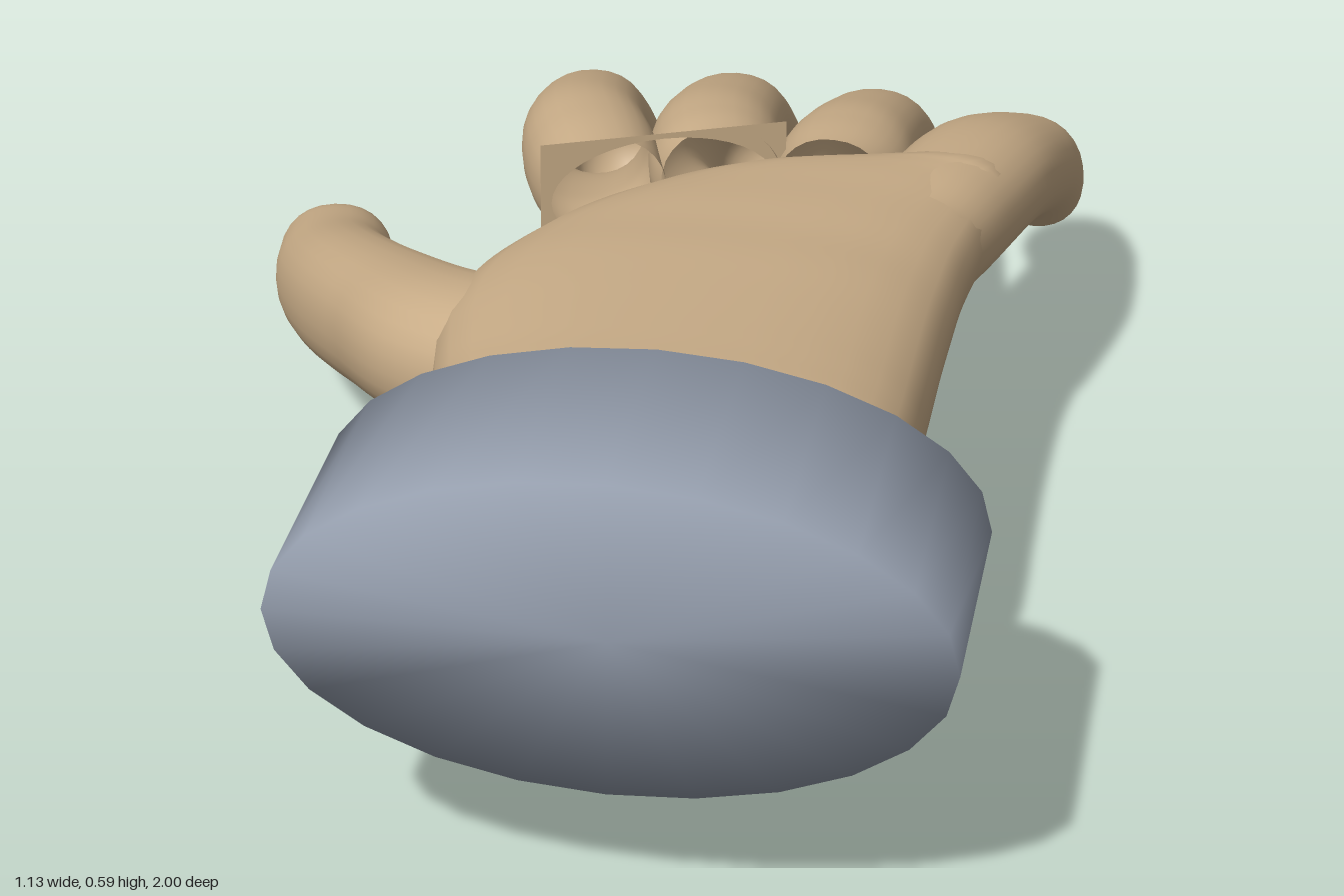
import * as THREE from 'three';
import { mergeVertices } from 'three/addons/utils/BufferGeometryUtils.js';

const skin = new THREE.MeshStandardMaterial({ color: 0xc9ad88, side: THREE.DoubleSide });
const cloth = new THREE.MeshStandardMaterial({ color: 0x939cab });
const SIDES = 28;
const UP = new THREE.Vector3(0, 1, 0);

// Skin through rows of [x, y, z, halfWidth, halfHeight]; a round tip and end cap are optional
function limb(name, rows, { axis = null, tip = true, steps = 36, power = 2.2, capStart = false } = {}) {
  const path = new THREE.CatmullRomCurve3(rows.map(r => new THREE.Vector3(r[0], r[1], r[2])), false, 'catmullrom');
  const size = new THREE.CatmullRomCurve3(rows.map(r => new THREE.Vector3(r[3], r[4], 0)), false, 'catmullrom');
  const pos = [], index = [];
  let rings = 0;

  const addRing = (c, t, w, h) => {
    const s = new THREE.Vector3().crossVectors(t, UP).normalize();
    const n = new THREE.Vector3().crossVectors(s, t);
    for (let j = 0; j < SIDES; j++) {
      const a = (j / SIDES) * Math.PI * 2;
      const round = v => Math.sign(v) * Math.abs(v) ** (2 / power);
      const p = c.clone().addScaledVector(s, w * round(Math.cos(a))).addScaledVector(n, h * round(Math.sin(a)));
      pos.push(p.x, p.y, p.z);
    }
    rings++;
  };

  for (let i = 0; i <= steps; i++) {
    const u = i / steps, d = size.getPoint(u);
    addRing(path.getPoint(u), axis || path.getTangent(u), d.x, d.y);
  }
  const end = path.getPoint(1), t = axis || path.getTangent(1), d = size.getPoint(1);
  if (tip) {
    for (let k = 1; k < 8; k++) {
      const a = (k / 8) * Math.PI / 2;
      addRing(end.clone().addScaledVector(t, d.x * Math.sin(a)), t, d.x * Math.cos(a), d.y * Math.cos(a));
    }
    end.addScaledVector(t, d.x);
  }

  for (let i = 0; i < rings - 1; i++) {
    for (let j = 0; j < SIDES; j++) {
      const a = i * SIDES + j, b = i * SIDES + (j + 1) % SIDES;
      index.push(a, a + SIDES, b, b, a + SIDES, b + SIDES);
    }
  }
  const last = (rings - 1) * SIDES, first = path.getPoint(0), e = pos.length / 3;
  pos.push(end.x, end.y, end.z, first.x, first.y, first.z);
  for (let j = 0; j < SIDES; j++) {
    const k = (j + 1) % SIDES;
    index.push(last + j, e, last + k);
    if (capStart) index.push(j, k, e + 1);
  }

  const g = new THREE.BufferGeometry();
  g.setAttribute('position', new THREE.Float32BufferAttribute(pos, 3));
  g.setIndex(index);
  g.computeVertexNormals();
  const mesh = new THREE.Mesh(g, skin);
  mesh.name = name;
  return mesh;
}

export function createModel() {
  const model = new THREE.Group();
  model.name = 'hand';

  // Palm sections: [z, left edge, right edge, bottom, top]
  const palm = [
    [0.69, -0.02, 0.34, 0.32, 0.44], [0.66, -0.07, 0.38, 0.285, 0.475],
    [0.62, -0.12, 0.42, 0.26, 0.505], [0.56, -0.155, 0.445, 0.245, 0.515],
    [0.47, -0.17, 0.45, 0.24, 0.51], [0.38, -0.19, 0.45, 0.235, 0.505],
    [0.28, -0.205, 0.45, 0.235, 0.5], [0.18, -0.195, 0.45, 0.24, 0.495],
    [0.09, -0.165, 0.452, 0.25, 0.487], [0, -0.115, 0.455, 0.26, 0.482],
    [-0.08, -0.05, 0.463, 0.27, 0.475], [-0.14, 0.02, 0.47, 0.275, 0.47],
    [-0.18, 0.09, 0.477, 0.28, 0.465], [-0.21, 0.19, 0.485, 0.285, 0.46],
    [-0.24, 0.29, 0.49, 0.29, 0.455], [-0.3, 0.36, 0.49, 0.31, 0.435],
  ].map(([z, l, r, b, t]) => [(l + r) / 2, (b + t) / 2, z, (r - l) / 2, (t - b) / 2]);
  model.add(limb('palm', palm, {
    axis: new THREE.Vector3(0, 0, -1), tip: false, steps: 60, power: 2.6, capStart: true,
  }));

  // Fingers, from the base to the centre of the round tip
  const fingers = {
    indexFinger: [
      [-0.065, 0.38, -0.17, 0.085, 0.085], [-0.105, 0.372, -0.28, 0.095, 0.09], [-0.14, 0.357, -0.4, 0.09, 0.085],
      [-0.165, 0.29, -0.6, 0.077, 0.077], [-0.173, 0.18, -0.78, 0.072, 0.072], [-0.175, 0.11, -0.87, 0.069, 0.069],
    ],
    middleFinger: [
      [0.085, 0.38, -0.235, 0.085, 0.085], [0.065, 0.373, -0.31, 0.095, 0.088], [0.05, 0.358, -0.42, 0.092, 0.083],
      [0.043, 0.293, -0.62, 0.08, 0.077], [0.042, 0.175, -0.81, 0.074, 0.073], [0.042, 0.075, -0.93, 0.07, 0.07],
    ],
    ringFinger: [
      [0.24, 0.38, -0.23, 0.08, 0.083], [0.245, 0.372, -0.32, 0.095, 0.085], [0.25, 0.355, -0.42, 0.088, 0.082],
      [0.257, 0.29, -0.61, 0.078, 0.076], [0.262, 0.18, -0.79, 0.073, 0.072], [0.263, 0.09, -0.9, 0.069, 0.069],
    ],
    littleFinger: [
      [0.37, 0.372, -0.1, 0.09, 0.085], [0.395, 0.368, -0.22, 0.1, 0.087], [0.433, 0.347, -0.4, 0.1, 0.083],
      [0.47, 0.283, -0.58, 0.08, 0.076], [0.48, 0.225, -0.69, 0.074, 0.072], [0.482, 0.17, -0.77, 0.07, 0.07],
    ],
    thumb: [
      [-0.06, 0.365, 0.31, 0.12, 0.1], [-0.2, 0.335, 0.22, 0.115, 0.1], [-0.31, 0.29, 0.08, 0.098, 0.098],
      [-0.4, 0.245, -0.06, 0.09, 0.095], [-0.46, 0.205, -0.19, 0.087, 0.088], [-0.485, 0.185, -0.285, 0.083, 0.083],
    ],
  };
  for (const [name, rows] of Object.entries(fingers)) model.add(limb(name, rows));

  // Flat open collar at the base of the index and middle fingers
  const w = 0.175, h = 0.09;
  const shape = new THREE.Shape([[-w, -h], [w, -h], [w, h], [-w, h]].map(p => new THREE.Vector2(...p)));
  const hole = new THREE.Path();
  hole.absellipse(0, 0, 0.16, 0.082, 0, Math.PI * 2, true);
  shape.holes.push(hole);
  const collar = new THREE.Mesh(new THREE.ShapeGeometry(shape, 20), skin);
  collar.name = 'fingerCollar';
  collar.position.set(0.01, 0.38, -0.2);
  collar.rotation.y = 0.41;
  model.add(collar);

  // Oval cuff with normals shared between rim and caps
  let cuffShape = new THREE.CylinderGeometry(1, 1, 0.33, 24);
  cuffShape.deleteAttribute('normal');
  cuffShape.deleteAttribute('uv');
  cuffShape = mergeVertices(cuffShape);
  cuffShape.rotateX(Math.PI / 2);
  cuffShape.rotateZ(Math.PI / 2);
  cuffShape.scale(0.408, 0.208, 1);
  cuffShape.computeVertexNormals();
  const cuff = new THREE.Mesh(cuffShape, cloth);
  cuff.name = 'cuff';
  cuff.position.set(0.155, 0.392, 0.835);
  model.add(cuff);

  return model;
}
